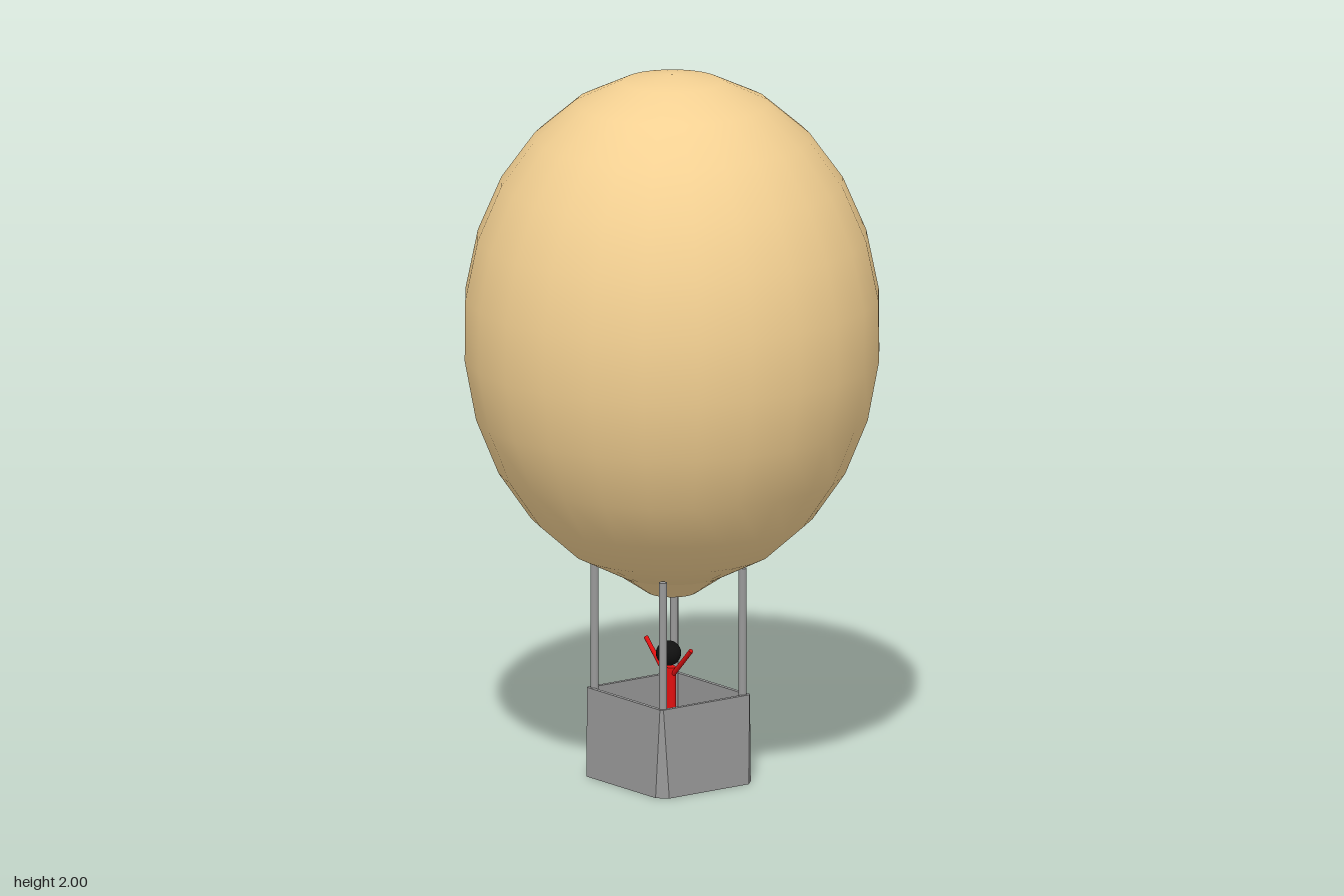
import * as THREE from 'three';

const tan = new THREE.MeshStandardMaterial({ color: 0xf3d092 });
const grey = new THREE.MeshStandardMaterial({ color: 0x999999 });
const greyFlat = new THREE.MeshStandardMaterial({ color: 0x999999, flatShading: true });
const red = new THREE.MeshStandardMaterial({ color: 0xe01010 });
const black = new THREE.MeshStandardMaterial({ color: 0x111111 });

const CX = -0.012; // the basket hangs slightly off the envelope's axis

function add(parent, name, geometry, material, x = 0, y = 0, z = 0) {
  const mesh = new THREE.Mesh(geometry, material);
  mesh.name = name;
  mesh.position.set(x, y, z);
  parent.add(mesh);
  return mesh;
}

// Rectangle with chamfered corners, counter-clockwise seen from above
function chamferedRing(y, w, d, c) {
  return [[w, d - c], [w, c - d], [w - c, -d], [c - w, -d],
    [-w, c - d], [-w, d - c], [c - w, d], [w - c, d]].map(([x, z]) => [x, y, z]);
}

// Skin a list of rings and close both ends
function loft(rings) {
  const pos = [];
  const tri = (...pts) => pts.forEach((p) => pos.push(...p));
  const n = rings[0].length;
  for (let i = 0; i < rings.length - 1; i++) {
    for (let k = 0; k < n; k++) {
      const m = (k + 1) % n;
      const a = rings[i][k], b = rings[i][m], c = rings[i + 1][m], d = rings[i + 1][k];
      tri(a, b, c);
      tri(a, c, d);
    }
  }
  const first = rings[0], last = rings[rings.length - 1];
  for (let k = 1; k < n - 1; k++) {
    tri(first[0], first[k + 1], first[k]);
    tri(last[0], last[k], last[k + 1]);
  }
  const g = new THREE.BufferGeometry();
  g.setAttribute('position', new THREE.Float32BufferAttribute(pos, 3));
  g.computeVertexNormals();
  return g;
}

// Cylinder between two points
function rod(a, b, r, sides = 10) {
  const dir = b.clone().sub(a);
  const g = new THREE.CylinderGeometry(r, r, dir.length(), sides);
  g.applyQuaternion(new THREE.Quaternion().setFromUnitVectors(
    new THREE.Vector3(0, 1, 0), dir.clone().normalize()));
  const mid = a.clone().add(b).multiplyScalar(0.5);
  return g.translate(mid.x, mid.y, mid.z);
}

export function createModel() {
  const model = new THREE.Group();
  model.name = 'hotAirBalloon';

  // Envelope: a stretched sphere cut off above the neck
  const envelope = new THREE.SphereGeometry(0.58, 24, 12, 0, Math.PI * 2, 0, Math.PI * 11 / 12);
  add(model, 'envelope', envelope.scale(1, 0.72 / 0.58, 1), tan, 0, 1.28, 0);

  // Neck below the envelope
  add(model, 'neck', new THREE.CylinderGeometry(0.15, 0.068, 0.055, 24), tan, 0, 0.5575, 0);

  // Hollow basket, flaring and chamfered towards the bottom
  add(model, 'basket', loft([
    chamferedRing(0, 0.165, 0.185, 0.027),
    chamferedRing(0.25, 0.156, 0.173, 0.007),
    chamferedRing(0.25, 0.144, 0.161, 0.005),
    chamferedRing(0.015, 0.15, 0.17, 0.02),
  ]), greyFlat, CX);

  // Four posts from the basket corners up to the envelope
  for (const sx of [-1, 1]) {
    for (const sz of [-1, 1]) {
      add(model, 'post', new THREE.CylinderGeometry(0.0115, 0.0115, 0.595, 12), grey,
        CX + sx * 0.138, 0.3105, sz * 0.156);
    }
  }

  // Passenger with raised arms
  const passenger = new THREE.Group();
  passenger.name = 'passenger';
  passenger.position.x = CX;
  model.add(passenger);
  add(passenger, 'torso', new THREE.CylinderGeometry(0.027, 0.027, 0.13, 16).scale(0.62, 1, 1), red, 0, 0.255, 0);
  add(passenger, 'head', new THREE.SphereGeometry(0.035, 20, 14), black, 0, 0.357, 0);
  for (const s of [-1, 1]) {
    add(passenger, 'arm', rod(new THREE.Vector3(0, 0.295, s * 0.015),
      new THREE.Vector3(0, 0.383, s * 0.103), 0.0065), red);
    add(passenger, 'leg', new THREE.CylinderGeometry(0.012, 0.012, 0.18, 10), grey, 0, 0.105, s * 0.014);
  }

  return model;
}
